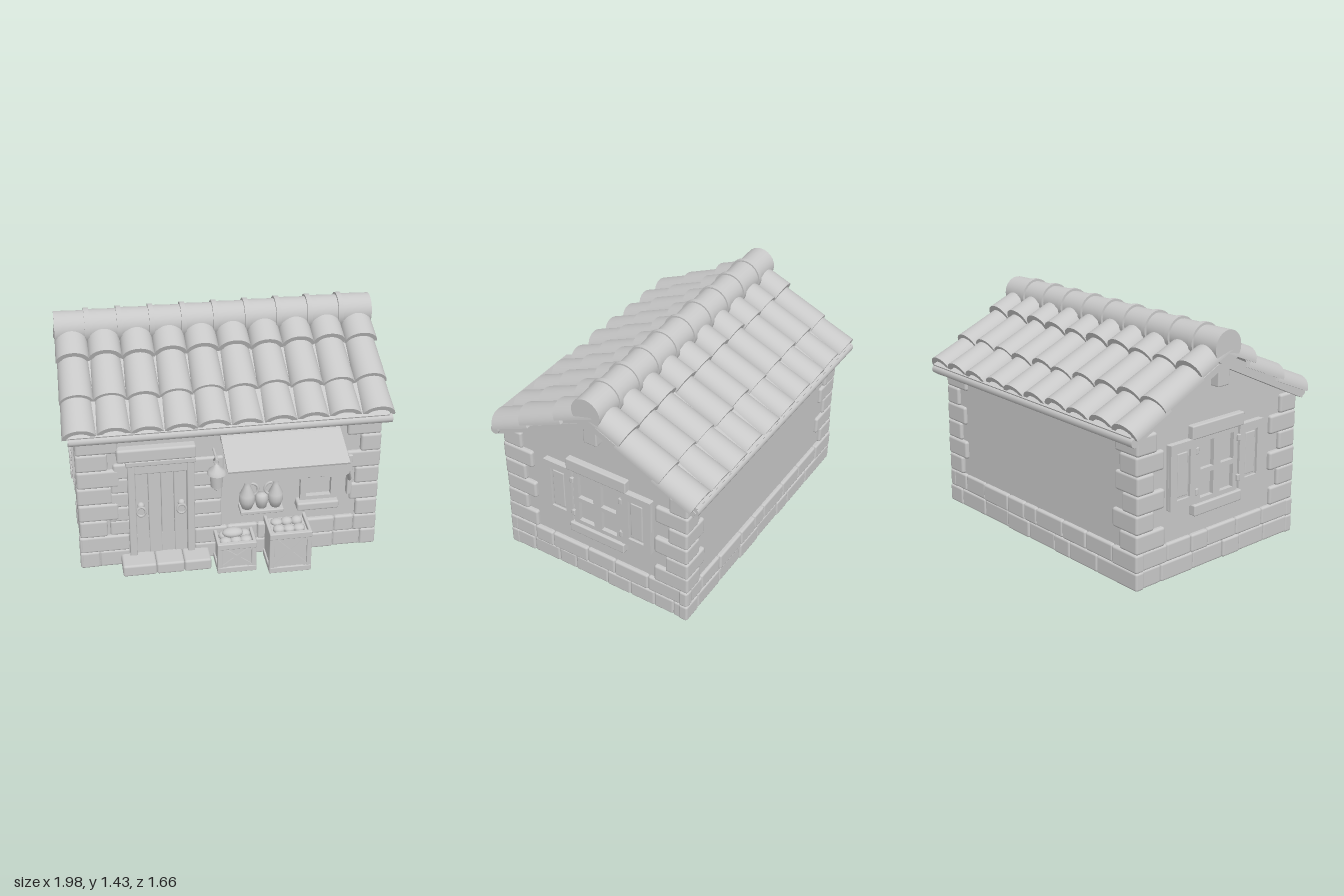
import * as THREE from 'three';
import { toCreasedNormals } from 'three/addons/utils/BufferGeometryUtils.js';
import { RoundedBoxGeometry } from 'three/addons/geometries/RoundedBoxGeometry.js';

export function createModel() {
  const model = new THREE.Group();
  const clay = new THREE.MeshStandardMaterial({ color: 0xc8c8c8 });
  clay.name = 'pale grey clay';

  let seed = 11;
  const rnd = (a, b) => {
    seed = (seed * 16807) % 2147483647;
    return a + (b - a) * (seed / 2147483647);
  };
  const add = (parent, name, geo, x = 0, y = 0, z = 0) => {
    const m = new THREE.Mesh(geo, clay);
    m.name = name;
    m.position.set(x, y, z);
    parent.add(m);
    return m;
  };
  const group = (name, parent = model) => {
    const g = new THREE.Group();
    g.name = name;
    parent.add(g);
    return g;
  };
  // softened box given by its limits
  const block = (parent, name, x0, x1, y0, y1, z0, z1, r = 0.008) =>
    add(parent, name, new RoundedBoxGeometry(x1 - x0, y1 - y0, z1 - z0, 2, r),
      (x0 + x1) / 2, (y0 + y1) / 2, (z0 + z1) / 2);
  const rectShape = (x0, x1, y0, y1, holes = []) => {
    const path = (p, a, b, c, d) => p.moveTo(a, c).lineTo(b, c).lineTo(b, d).lineTo(a, d).closePath();
    const s = path(new THREE.Shape(), x0, x1, y0, y1);
    holes.forEach(h => s.holes.push(path(new THREE.Path(), ...h)));
    return s;
  };
  const extrude = (shape, depth) => new THREE.ExtrudeGeometry(shape, { depth, bevelEnabled: false, curveSegments: 12 });
  // round bar between two points
  const bar = (parent, name, a, b, r) => {
    const A = new THREE.Vector3(...a), B = new THREE.Vector3(...b);
    const m = add(parent, name, new THREE.CylinderGeometry(r, r, A.distanceTo(B), 10));
    m.position.copy(A).add(B).multiplyScalar(0.5);
    m.quaternion.setFromUnitVectors(new THREE.Vector3(0, 1, 0), B.clone().sub(A).normalize());
    return m;
  };

  // Gabled wall body and plinth core
  const gable = new THREE.Shape([[-0.54, 0], [0.72, 0], [0.72, 0.93], [0.11, 1.235], [-0.54, 0.93]]
    .map(p => new THREE.Vector2(...p)));
  add(model, 'walls', extrude(gable, 1.79).rotateY(Math.PI / 2).translate(-0.895, 0, 0));
  block(model, 'plinthCore', -0.907, 0.907, 0, 0.215, -0.733, 0.553, 0.004);

  // Plinth stones: two courses on each side
  const sides = [
    ['front', 0, 0, 0.545, [[-0.925, -0.62], [-0.22, 0.925]]],
    ['back', Math.PI, 0, -0.725, [[-0.925, 0.925]]],
    ['left', Math.PI / 2, 0.9, -0.09, [[-0.655, 0.655]]],
    ['right', -Math.PI / 2, -0.9, -0.09, [[-0.655, 0.655]]],
  ];
  for (const [name, turn, px, pz, spans] of sides) {
    const g = group(name + 'PlinthStones');
    g.position.set(px, 0, pz);
    g.rotation.y = turn;
    for (const [a, b] of spans) for (let row = 0; row < 2; row++) {
      let x = a;
      while (x < b - 0.01) {
        let e = x + rnd(0.12, 0.26);
        if (b - e < 0.09) e = b;
        block(g, 'plinthStone', x, e, row * 0.11, row * 0.11 + 0.112, -0.04, rnd(0.014, 0.024), 0.014);
        x = e;
      }
    }
  }

  // Corner stones, long and short in turn
  const quoins = group('cornerStones');
  for (const sx of [-1, 1]) for (const front of [true, false]) for (let i = 0; i < 6; i++) {
    const long = i % 2 === 0;
    const wx = (long ? 0.14 : 0.2) + (sx < 0 && front ? 0.05 : 0) + rnd(-0.02, 0.02);
    const wz = (long ? 0.22 : 0.14) + rnd(-0.015, 0.015);
    const y = 0.22 + i * 0.116, out = rnd(0.918, 0.926);
    const z = front ? rnd(0.56, 0.568) : rnd(-0.745, -0.738);
    block(quoins, 'cornerStone', ...(sx > 0 ? [out - wx, out] : [-out, -out + wx]), y, y + 0.118,
      ...(front ? [z - wz, z] : [z, z + wz]), 0.016);
  }
  // Stones beside the door
  for (let i = 0; i < 5; i++) {
    const y = 0.22 + i * 0.1;
    block(quoins, 'doorSideStone', -0.23, rnd(-0.1, -0.04), y, y + 0.102, 0.5, rnd(0.552, 0.562), 0.014);
    block(quoins, 'doorSideStone', rnd(-0.74, -0.7), -0.6, y, y + 0.102, 0.5, rnd(0.552, 0.562), 0.014);
  }

  // Roof: three rows of ten barrel tiles on each slope
  const arch = new THREE.Shape();
  arch.moveTo(-0.1, -0.085).absellipse(0, -0.085, 0.1, 0.085, Math.PI, 0, true);
  arch.lineTo(0.072, -0.085).absellipse(0, -0.085, 0.072, 0.052, 0, Math.PI, false);
  const tileGeo = length => {
    const g = extrude(arch, length).translate(0, 0, -length);
    const p = g.attributes.position;
    for (let i = 0; i < p.count; i++) {
      const t = -p.getZ(i) / length;
      p.setXY(i, p.getX(i) * (1.02 - 0.08 * t), p.getY(i) - 0.008 * t);
    }
    return toCreasedNormals(g, 0.7);
  };
  const rows = [[0.75, 1.005, 0.28], [0.54, 1.122, 0.32], [0.28, 1.27, 0.28]]
    .map(([d, y, len]) => ({ d, y, geo: tileGeo(len) }));
  for (const turn of [0, Math.PI]) {
    const slope = group(turn ? 'backRoofSlope' : 'frontRoofSlope');
    slope.position.z = -0.11;
    slope.rotation.y = turn;
    for (const { d, y, geo } of rows) for (let i = 0; i < 10; i++) {
      const t = add(slope, 'roofTile', geo, (i - 4.5) * 0.197, y + rnd(-0.006, 0.006), d - 0.03 + rnd(-0.008, 0.008));
      t.rotation.set(0.43, 0, rnd(-0.02, 0.02));
    }
    const deck = add(slope, 'roofDeck', new THREE.BoxGeometry(1.9, 0.05, 0.78), 0, 1.09, 0.345);
    deck.rotation.x = 0.443;
    for (const s of [-1, 1]) {
      const rake = add(slope, 'rakeBoard', new THREE.BoxGeometry(0.06, 0.04, 0.77), s * 0.925, 1.062, 0.345);
      rake.rotation.x = 0.443;
    }
    bar(slope, 'eaveBeam', [-0.95, 0.915, 0.69], [0.97, 0.915, 0.69], 0.028);
  }

  // Ridge caps with a raised collar on each joint
  const ridge = group('ridge');
  for (let i = 0; i < 10; i++) {
    const x = (i - 4.5) * 0.196;
    const cap = add(ridge, 'ridgeCap', new THREE.CylinderGeometry(0.102, 0.096, 0.198, 24), x, 1.322, -0.11);
    cap.rotation.z = Math.PI / 2;
    if (i) {
      const collar = add(ridge, 'ridgeCollar', new THREE.CylinderGeometry(0.111, 0.111, 0.03, 24), x - 0.098, 1.322, -0.11);
      collar.rotation.z = Math.PI / 2;
    }
  }
  block(model, 'ridgeBeam', -0.955, 0.955, 1.09, 1.24, -0.157, -0.067);

  // Gable windows with shutters, one on each end
  for (const s of [1, -1]) {
    const w = group(s > 0 ? 'leftWindow' : 'rightWindow');
    w.position.set(s * 0.893, 0, -0.12);
    w.rotation.y = s * Math.PI / 2;
    const panes = [];
    for (const [a, b] of [[-0.135, -0.028], [0.028, 0.135]])
      for (const [c, d] of [[0.44, 0.585], [0.615, 0.78]]) panes.push([a, b, c, d]);
    add(w, 'windowFrame', extrude(rectShape(-0.17, 0.17, 0.41, 0.815, panes), 0.03));
    block(w, 'windowLintel', -0.21, 0.21, 0.81, 0.892, -0.01, 0.042);
    block(w, 'windowSill', -0.195, 0.195, 0.345, 0.412, -0.01, 0.05);
    for (const k of [-1, 1]) {
      const x = k * 0.277;
      block(w, 'shutter', x - 0.1, x + 0.1, 0.42, 0.815, -0.01, 0.024, 0.005);
      add(w, 'shutterRim', extrude(rectShape(x - 0.1, x + 0.1, 0.42, 0.815,
        [[x - 0.052, x + 0.052, 0.475, 0.765]]), 0.017), 0, 0, 0.023);
      block(w, 'shutterPanel', x - 0.04, x + 0.04, 0.49, 0.75, 0.015, 0.032, 0.005);
      for (const y of [0.49, 0.74]) block(w, 'hinge', k * 0.172 - 0.012, k * 0.172 + 0.012, y - 0.02, y + 0.02, 0, 0.045, 0.005);
    }
  }

  // Door with frame, lintel, rings and step
  const door = group('door');
  for (let i = 0; i < 4; i++)
    block(door, 'doorPlank', -0.575 + i * 0.0775, -0.4985 + i * 0.0775, 0.07, 0.65, 0.5, 0.553 + (i % 2) * 0.004, 0.006);
  for (const x of [-0.62, -0.265]) block(door, 'doorPost', x, x + 0.045, 0.06, 0.745, 0.5, 0.582);
  block(door, 'doorHead', -0.62, -0.22, 0.65, 0.73, 0.5, 0.572);
  block(door, 'doorHeadTrim', -0.63, -0.21, 0.715, 0.75, 0.5, 0.59);
  block(door, 'doorLintel', -0.68, -0.21, 0.748, 0.835, 0.5, 0.595, 0.014);
  for (const x of [-0.545, -0.3]) {
    add(door, 'ringPlate', new THREE.SphereGeometry(0.022, 12, 8), x, 0.425, 0.56);
    const ring = add(door, 'doorRing', new THREE.TorusGeometry(0.026, 0.007, 8, 20), x, 0.39, 0.576);
    ring.scale.y = 1.2;
  }
  [-0.675, -0.47, -0.3, -0.135].forEach((x, i, a) =>
    i && block(model, 'doorStep', a[i - 1], x, 0, 0.078, 0.5, 0.69, 0.014));

  // Wall lantern
  const lantern = group('lantern');
  lantern.position.set(-0.1, 0, 0.66);
  const lathe = pts => new THREE.LatheGeometry(pts.map(p => new THREE.Vector2(...p)), 16);
  add(lantern, 'lanternBody', toCreasedNormals(lathe([[0, 0.55], [0.012, 0.56], [0.012, 0.575], [0.035, 0.585], [0.042, 0.67],
    [0.058, 0.675], [0.05, 0.695], [0.02, 0.72], [0.01, 0.735], [0, 0.74]]), 0.6));
  add(lantern, 'lanternLoop', new THREE.TorusGeometry(0.014, 0.004, 6, 14), 0, 0.75, 0);
  bar(lantern, 'lanternArm', [0, 0.77, -0.13], [0, 0.77, 0.02], 0.008);
  bar(lantern, 'lanternBrace', [0, 0.69, -0.12], [0, 0.765, -0.03], 0.006);

  // Awning with scalloped valance and bracket
  const awning = group('awning');
  const cloth = add(awning, 'awningCloth', new THREE.BoxGeometry(0.722, 0.014, 0.29), 0.302, 0.812, 0.68);
  cloth.rotation.x = 0.315;
  const valance = new THREE.Shape().moveTo(-0.06, 0.775).lineTo(-0.06, 0.7);
  for (let i = 0; i < 9; i++) {
    const x = -0.06 + i * 0.0803;
    valance.quadraticCurveTo(x + 0.04, 0.665, x + 0.0803, 0.7);
  }
  valance.lineTo(0.663, 0.775).closePath();
  add(awning, 'valance', extrude(valance, 0.012), 0, 0, 0.804);
  bar(awning, 'awningRail', [-0.05, 0.762, 0.796], [0.655, 0.762, 0.796], 0.01);
  block(awning, 'awningWallRail', -0.06, 0.665, 0.82, 0.862, 0.53, 0.565);
  bar(awning, 'awningStrut', [0.65, 0.75, 0.79], [0.735, 0.5, 0.57], 0.013);
  block(awning, 'awningWallPost', 0.72, 0.748, 0.39, 0.67, 0.53, 0.58, 0.006);

  // Shelf with jugs
  const shelf = group('shelf');
  block(shelf, 'shelfBoard', 0.05, 0.315, 0.35, 0.375, 0.53, 0.65, 0.006);
  block(shelf, 'shelfBack', 0.06, 0.305, 0.37, 0.41, 0.53, 0.57, 0.006);
  const jugGeo = lathe([[0, 0], [0.03, 0], [0.048, 0.05], [0.045, 0.09], [0.018, 0.15], [0.016, 0.19], [0.028, 0.235], [0.02, 0.235], [0, 0.19]]);
  for (const [x, s] of [[0.095, 1.04], [0.27, 1]]) {
    const jug = add(shelf, 'jug', jugGeo, x, 0.375, 0.6);
    jug.scale.setScalar(s);
    const k = x < 0.15 ? 1 : -1;
    const handle = add(shelf, 'jugHandle', new THREE.TorusGeometry(0.042, 0.008, 8, 18, Math.PI), x + k * 0.025, 0.5, 0.6);
    handle.rotation.z = -k * Math.PI / 2;
  }
  add(shelf, 'bowl', lathe([[0, 0], [0.03, 0], [0.042, 0.06], [0.03, 0.09], [0, 0.095]]), 0.185, 0.375, 0.6);

  // Front window behind the awning
  const shop = group('frontWindow');
  add(shop, 'frontWindowFrame', extrude(rectShape(0.43, 0.655, 0.375, 0.7, [[0.465, 0.62, 0.4, 0.68]]), 0.04), 0, 0, 0.535);
  block(shop, 'frontWindowPanel', 0.475, 0.61, 0.52, 0.68, 0.52, 0.562);
  block(shop, 'frontWindowSill', 0.405, 0.665, 0.32, 0.375, 0.53, 0.615, 0.012);

  // Crates with braced fronts and produce
  const crate = (name, x0, x1, h, z1) => {
    const g = group(name), z0 = 0.57, t = 0.03, cx = (x0 + x1) / 2;
    block(g, 'crateBox', x0 + 0.01, x1 - 0.01, 0, h - 0.025, z0, z1 - 0.012, 0.004);
    for (const y of [0, h - 0.04]) {
      block(g, 'frontRail', x0, x1, y, y + 0.04, z1 - 0.03, z1, 0.005);
      for (const x of [x0, x1 - 0.02]) block(g, 'sideRail', x, x + 0.02, y, y + 0.04, z0, z1, 0.005);
    }
    for (const x of [x0, x1 - t]) block(g, 'cornerPost', x, x + t, 0, h, z1 - 0.03, z1 - 0.002, 0.005);
    for (const k of [-1, 1]) {
      const b = add(g, 'crossBrace', new THREE.BoxGeometry(Math.hypot(x1 - x0 - 0.04, h - 0.06), 0.025, 0.01), cx, h / 2, z1 - 0.009);
      b.rotation.z = k * Math.atan2(h - 0.06, x1 - x0 - 0.04);
    }
    for (let i = 0; i < 6; i++) {
      const p = add(g, 'produce', new THREE.SphereGeometry(0.034, 12, 8),
        cx + ((i % 3) - 1) * 0.062, h - 0.012, z0 + (z1 - z0) * (i < 3 ? 0.3 : 0.66));
      p.scale.set(1.1, rnd(0.6, 0.9), 1);
    }
  };
  crate('smallCrate', -0.105, 0.135, 0.21, 0.74);
  crate('largeCrate', 0.205, 0.465, 0.285, 0.787);
  const loaf = add(model, 'loaf', new THREE.SphereGeometry(0.05, 14, 10), 0.0, 0.235, 0.65);
  loaf.scale.set(1.3, 0.6, 0.8);

  return model;
}
